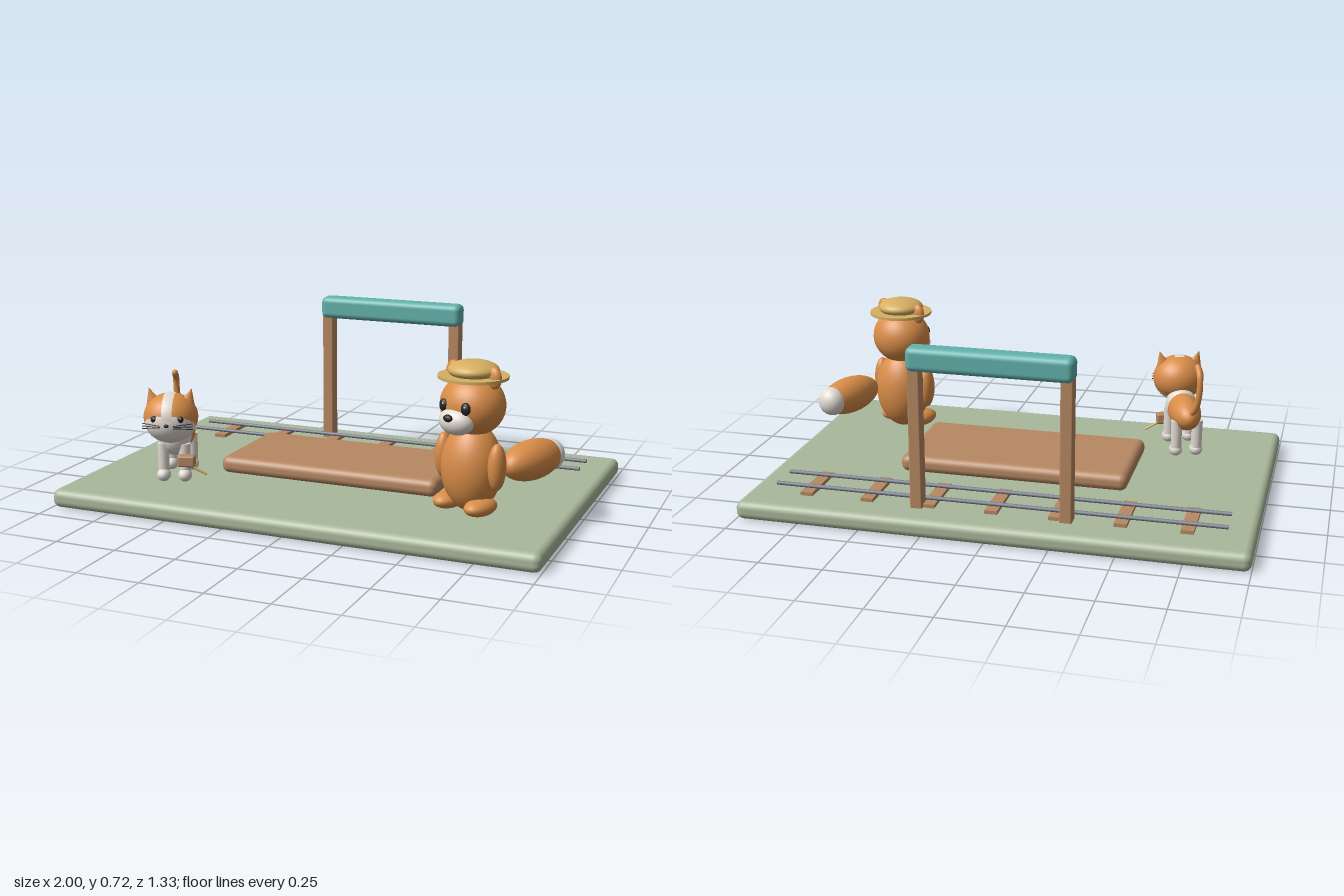
import * as THREE from 'three';
import { RoundedBoxGeometry } from 'three/addons/geometries/RoundedBoxGeometry.js';

const mat = (name, color) => {
  const m = new THREE.MeshStandardMaterial({ color });
  m.name = name;
  return m;
};

export function createModel() {
  const green = mat('grass green', 0xa9b89b);
  const wood = mat('wood brown', 0xb78863);
  const teal = mat('teal', 0x62b2ac);
  const steel = mat('rail grey', 0x787d8c);
  const orange = mat('fur orange', 0xd98d48);
  const white = mat('fur white', 0xe2dbd2);
  const straw = mat('straw', 0xd6b062);
  const black = mat('black', 0x242426);

  const root = new THREE.Group();
  root.name = 'stationDiorama';

  const add = (parent, name, geometry, material, pos = [0, 0, 0]) => {
    const m = new THREE.Mesh(geometry, material);
    m.name = name;
    m.position.set(...pos);
    parent.add(m);
    return m;
  };
  const ball = (parent, name, material, pos, r, seg = 32) => {
    const g = new THREE.SphereGeometry(1, seg, Math.round(seg * 0.7)).scale(...r);
    return add(parent, name, g, material, pos);
  };
  const block = (parent, name, material, pos, size, radius) =>
    add(parent, name, new RoundedBoxGeometry(...size, 4, radius), material, pos);
  // thin rod between two points
  const rod = (parent, name, material, a, b, r) => {
    const curve = new THREE.LineCurve3(new THREE.Vector3(...a), new THREE.Vector3(...b));
    return add(parent, name, new THREE.TubeGeometry(curve, 1, r, 8), material);
  };
  const group = (name, x, z, yaw) => {
    const g = new THREE.Group();
    g.name = name;
    g.position.set(x, 0, z);
    g.rotation.y = yaw;
    root.add(g);
    return g;
  };

  // Ground and platform
  block(root, 'ground', green, [0, 0.0375, 0], [2, 0.075, 1.33], 0.03);
  block(root, 'platform', wood, [0, 0.12, 0], [0.935, 0.07, 0.455], 0.03);

  // Railway track
  for (let i = -3; i <= 3; i++)
    add(root, 'sleeper', new THREE.BoxGeometry(0.05, 0.016, 0.226), wood, [i * 0.25, 0.081, -0.422]);
  for (const z of [-0.483, -0.357]) {
    const g = new THREE.CylinderGeometry(0.008, 0.008, 1.79, 12).rotateZ(Math.PI / 2);
    add(root, 'rail', g, steel, [0, 0.096, z]);
  }

  // Station sign frame
  for (const s of [-1, 1])
    block(root, 'signPost', wood, [s * 0.294, 0.355, -0.521], [0.048, 0.57, 0.056], 0.006);
  block(root, 'signBeam', teal, [0, 0.672, -0.521], [0.645, 0.095, 0.085], 0.025);

  // Bushy-tailed animal with straw hat
  const fox = group('hatAnimal', 0.638, 0.32, -0.38);
  ball(fox, 'body', orange, [0, 0.262, 0], [0.12, 0.172, 0.11]);
  ball(fox, 'head', orange, [0, 0.5, 0], [0.127, 0.116, 0.117]);
  ball(fox, 'muzzle', white, [0, 0.453, 0.092], [0.073, 0.052, 0.054]);
  ball(fox, 'nose', black, [0, 0.472, 0.142], [0.02, 0.014, 0.013], 16);
  for (const s of [-1, 1]) {
    ball(fox, 'ear', orange, [s * 0.095, 0.613, 0], [0.033, 0.042, 0.02], 20);
    ball(fox, 'eye', black, [s * 0.051, 0.508, 0.104], [0.02, 0.024, 0.015], 16);
    ball(fox, 'eyeGlint', white, [s * 0.051 + 0.005, 0.517, 0.118], [0.004, 0.004, 0.003], 8);
    ball(fox, 'arm', orange, [s * 0.127, 0.285, 0.01], [0.033, 0.09, 0.038], 24);
    ball(fox, 'foot', orange, [s * 0.075, 0.128, 0.035], [0.05, 0.034, 0.078], 24);
  }
  ball(fox, 'tail', orange, [0.113, 0.265, -0.223], [0.077, 0.077, 0.163]);
  ball(fox, 'tailTip', white, [0.113, 0.265, -0.334], [0.061, 0.061, 0.055], 24);
  add(fox, 'hatBrim', new THREE.CylinderGeometry(0.132, 0.132, 0.011, 48), straw, [0, 0.607, 0]);
  ball(fox, 'hatCrown', straw, [0, 0.631, 0], [0.096, 0.037, 0.096]);

  // Cat
  const cat = group('cat', -0.61, 0.32, 0.33);
  ball(cat, 'body', orange, [0, 0.262, -0.025], [0.066, 0.07, 0.13]);
  ball(cat, 'chest', white, [0, 0.265, 0.055], [0.066, 0.076, 0.065], 24);
  for (const s of [-1, 1])
    for (const z of [0.085, -0.085]) {
      add(cat, 'leg', new THREE.CylinderGeometry(0.024, 0.022, 0.13, 16), white, [s * 0.043, 0.18, z]);
      ball(cat, 'paw', white, [s * 0.043, 0.115, z + 0.008], [0.028, 0.027, 0.034], 16);
    }

  // Cat head: orange cap, white lower face, white stripe over the brow
  const head = new THREE.Group();
  head.name = 'catHead';
  head.position.set(0, 0.366, 0.13);
  cat.add(head);
  ball(head, 'skull', orange, [0, 0, 0], [0.108, 0.096, 0.1]);
  ball(head, 'lowerFace', white, [0, -0.011, 0.007], [0.104, 0.092, 0.097]);
  const stripe = new THREE.SphereGeometry(1.02, 24, 6, Math.PI / 2 - 0.1, Math.PI / 2 + 0.3,
    Math.PI / 2 - 0.19, 0.38).rotateZ(Math.PI / 2).scale(0.108, 0.096, 0.1);
  add(head, 'browStripe', stripe, white);
  ball(head, 'nose', black, [0, -0.014, 0.103], [0.01, 0.007, 0.007], 12);
  for (const s of [-1, 1]) {
    const ear = add(head, 'ear', new THREE.ConeGeometry(0.034, 0.07, 20).scale(1, 1, 0.6), orange, [s * 0.075, 0.082, 0]);
    ear.rotation.z = -s * 0.3;
    ball(head, 'eye', black, [s * 0.052, 0.009, 0.086], [0.013, 0.014, 0.008], 14);
    ball(head, 'eyeGlint', white, [s * 0.052 + 0.003, 0.014, 0.094], [0.003, 0.003, 0.002], 8);
    for (const k of [-1, 0, 1])
      rod(head, 'whisker', black, [s * 0.025, -0.02 + k * 0.005, 0.1],
        [s * 0.1, -0.02 + k * 0.011, 0.08], 0.0018);
  }

  // Cat tail, raised and hooked forward
  const tailPath = new THREE.CatmullRomCurve3([
    [-0.005, 0.28, -0.125], [-0.02, 0.32, -0.155], [-0.03, 0.4, -0.168],
    [-0.03, 0.46, -0.158], [-0.028, 0.487, -0.125],
  ].map((p) => new THREE.Vector3(...p)));
  add(cat, 'tail', new THREE.TubeGeometry(tailPath, 28, 0.013, 12), orange);
  ball(cat, 'tailEnd', orange, [-0.028, 0.487, -0.125], [0.013, 0.013, 0.013], 12);

  // Small case with a thin stick
  block(cat, 'case', wood, [0.057, 0.183, 0.125], [0.068, 0.046, 0.042], 0.008);
  rod(cat, 'stick', straw, [0.06, 0.172, 0.135], [0.139, 0.13, 0.132], 0.005);

  return root;
}
